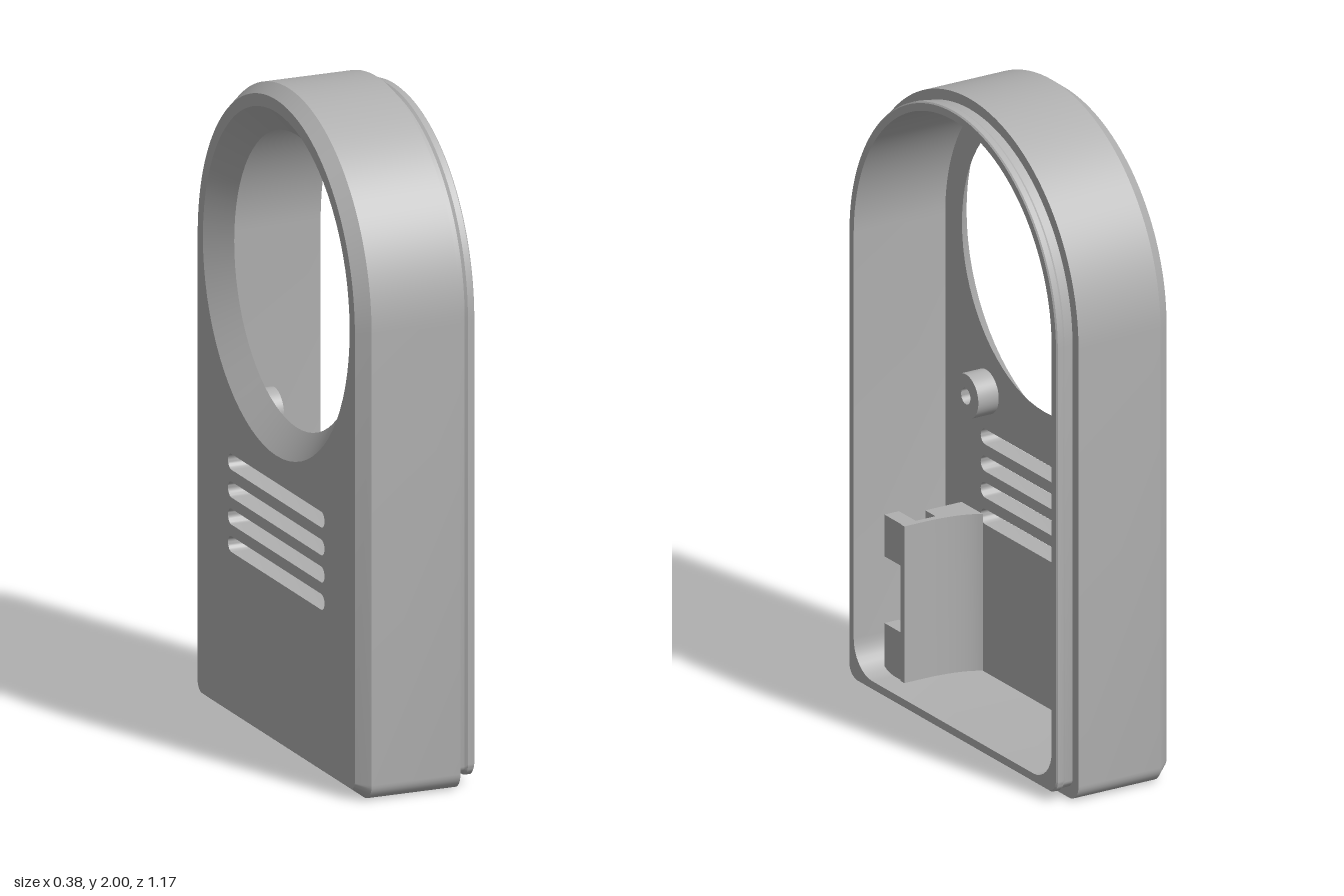
import * as THREE from 'three';
import { toCreasedNormals } from 'three/addons/utils/BufferGeometryUtils.js';

// Built in a local frame: u across, v up, w out of the open side; turned at the end so w becomes +x.
const BACK = -0.19, FLOOR = -0.125, CY = 1.413, HALF = 0.587;

// Arched outline, counter-clockwise from the middle of the bottom edge
function arch(inset, r) {
  const h = HALF - inset, pts = [new THREE.Vector2(0, inset)];
  const arc = (cx, cy, rad, a0, a1, n) => {
    for (let i = 0; i <= n; i++) {
      const a = a0 + (a1 - a0) * i / n;
      pts.push(new THREE.Vector2(cx + rad * Math.cos(a), cy + rad * Math.sin(a)));
    }
  };
  arc(h - r, inset + r, r, -Math.PI / 2, 0, 8);
  arc(0, CY, h, 0, Math.PI, 64);
  arc(r - h, inset + r, r, Math.PI, Math.PI * 1.5, 8);
  pts.push(pts[0].clone());
  return pts;
}

function circle(x, y, r, n = 72) {
  return Array.from({ length: n + 1 }, (_, i) => {
    const a = (i % n) / n * Math.PI * 2;
    return new THREE.Vector2(x + r * Math.cos(a), y + r * Math.sin(a));
  });
}

// Horizontal slot with round ends
function slot(y, half, r) {
  const pts = [];
  for (const side of [1, -1]) for (let i = 0; i <= 12; i++) {
    const a = -Math.PI / 2 + Math.PI * i / 12;
    pts.push(new THREE.Vector2(side * (half - r + r * Math.cos(a)), y + side * r * Math.sin(a)));
  }
  pts.push(pts[0].clone());
  return pts;
}

// Band of wall joining two matching loops
function band(a, wa, b, wb) {
  const pos = [], idx = [];
  a.forEach((p, i) => {
    pos.push(p.x, p.y, wa, b[i].x, b[i].y, wb);
    if (i < a.length - 1) {
      const k = i * 2;
      idx.push(k, k + 2, k + 1, k + 2, k + 3, k + 1);
    }
  });
  const g = new THREE.BufferGeometry();
  g.setAttribute('position', new THREE.Float32BufferAttribute(pos, 3));
  g.setIndex(idx);
  return toCreasedNormals(g, 0.6);
}

// Flat plate face with holes
function face(outline, holes, w, flip) {
  const s = new THREE.Shape(outline.slice(0, -1));
  s.holes = holes.map(h => new THREE.Path(h.slice(0, -1)));
  const g = new THREE.ShapeGeometry(s);
  if (flip) {
    const ix = g.index;
    for (let i = 0; i < ix.count; i += 3) {
      const t = ix.getX(i);
      ix.setX(i, ix.getX(i + 1));
      ix.setX(i + 1, t);
    }
    g.computeVertexNormals();
  }
  return g.translate(0, 0, w);
}

export function createModel() {
  const grey = new THREE.MeshStandardMaterial({ color: 0xb0b0b0 });
  grey.name = 'grey plastic';
  const body = new THREE.Group();
  body.name = 'housing';
  const add = (name, geo) => {
    const m = new THREE.Mesh(geo, grey);
    m.name = name;
    body.add(m);
    return m;
  };

  // Side wall: chamfer, outside, stepped lip with bead, then down the inside [inset, corner radius, w]
  const rows = [
    [0.03, 0.03, BACK], [0, 0.05, -0.15], [0, 0.05, 0.132], [0.032, 0.035, 0.132],
    [0.032, 0.035, 0.16], [0.027, 0.04, 0.168], [0.027, 0.04, 0.186], [0.031, 0.04, 0.19],
    [0.054, 0.1, 0.19], [0.054, 0.1, FLOOR],
  ];
  for (let i = 0; i < rows.length - 1; i++) {
    const [i0, r0, w0] = rows[i], [i1, r1, w1] = rows[i + 1];
    add('wall', band(arch(i0, r0), w0, arch(i1, r1), w1));
  }

  // Back plate with flared round opening and vent slots
  const slots = [0.787, 0.703, 0.621, 0.538].map(y => slot(y, 0.342, 0.024));
  const wide = circle(0, CY, 0.52), narrow = circle(0, CY, 0.443);
  add('plateOutside', face(arch(0.03, 0.03), [wide, ...slots], BACK, true));
  add('plateInside', face(arch(0.054, 0.1), [narrow, ...slots], FLOOR, false));
  add('openingRim', band(narrow, FLOOR, wide, BACK));
  for (const s of slots) add('ventSlot', band(s, FLOOR, s, BACK));

  // Screw bosses
  for (const side of [-1, 1]) {
    const s = new THREE.Shape(circle(0, 0, 0.068, 36).slice(0, -1));
    s.holes.push(new THREE.Path(circle(0, 0, 0.025, 24).slice(0, -1)));
    const g = new THREE.ExtrudeGeometry(s, { depth: 0.07, bevelEnabled: false });
    add('screwBoss', toCreasedNormals(g, 0.6)).position.set(side * 0.313, 0.93, FLOOR);
  }

  // Bracket: upright panel with a curved foot and a lower ledge behind it
  const p = new THREE.Shape();
  p.moveTo(-0.33, -FLOOR);
  p.quadraticCurveTo(-0.365, 0.08, -0.37, -0.03);
  p.lineTo(-0.37, -0.12);
  p.lineTo(-0.39, -0.12);
  p.lineTo(-0.39, 0);
  p.lineTo(-0.445, 0);
  p.lineTo(-0.445, -FLOOR);
  const panel = new THREE.ExtrudeGeometry(p, { depth: 0.49, bevelEnabled: false });
  panel.rotateX(-Math.PI / 2);
  add('bracketPanel', toCreasedNormals(panel, 0.5)).position.y = 0.052;

  // Bracket tabs reaching toward the side wall
  for (const [y, h] of [[0.475, 0.13], [0.127, 0.15]]) {
    add('bracketTab', new THREE.BoxGeometry(0.1, h, 0.05)).position.set(-0.435, y, 0.09);
  }
  add('bracketRib', new THREE.BoxGeometry(0.025, 0.21, 0.125)).position.set(-0.455, 0.305, -0.0625);

  body.rotation.y = Math.PI / 2;
  const model = new THREE.Group();
  model.name = 'archedHousing';
  model.add(body);
  return model;
}
